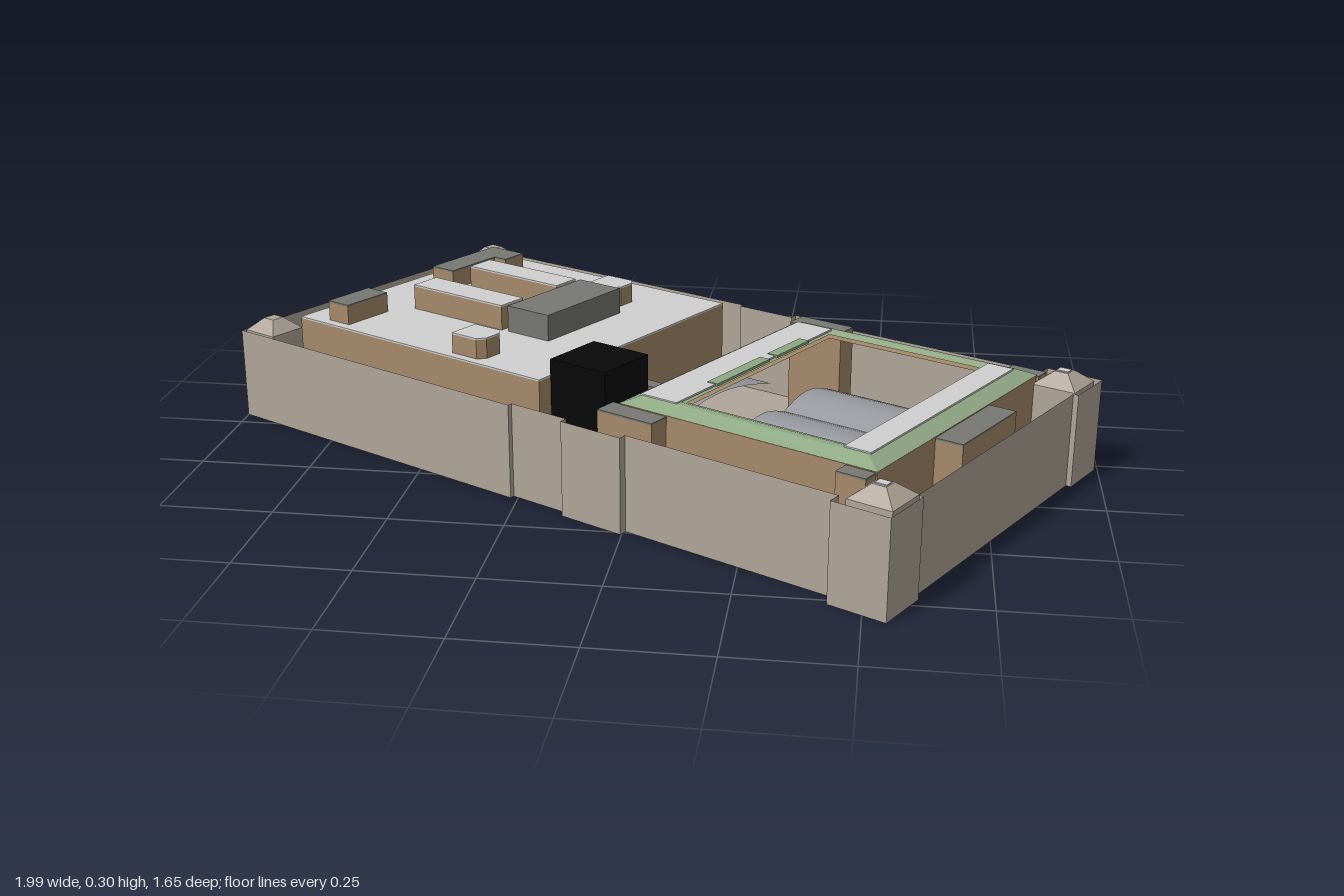
import * as THREE from 'three';

const mat = (name, color, side = THREE.FrontSide) => {
  const m = new THREE.MeshStandardMaterial({ color, side, flatShading: true });
  m.name = name;
  return m;
};

export function createModel() {
  const stone = mat('stone', 0xb0a599, THREE.DoubleSide);
  const brown = mat('brown masonry', 0xa58a69);
  const white = mat('pale roof', 0xd0d0d0);
  const green = mat('green roof', 0x8fa884, THREE.DoubleSide);
  const dark = mat('dark grey roof', 0x777773);
  const glass = mat('grey glass', 0x9999a0, THREE.DoubleSide);
  const black = mat('black', 0x080808);

  // The complex is turned on its plot; parts are laid out in local x (length) and z (width)
  const model = new THREE.Group();
  model.name = 'buildingComplex';
  const plot = new THREE.Group();
  plot.name = 'plot';
  plot.rotation.y = -THREE.MathUtils.degToRad(29);
  model.add(plot);

  const add = (name, geo, material) => {
    const mesh = new THREE.Mesh(geo, material);
    mesh.name = name;
    plot.add(mesh);
    return mesh;
  };
  const box = (name, x0, x1, z0, z1, y0, y1, material) => {
    const mesh = add(name, new THREE.BoxGeometry(x1 - x0, y1 - y0, z1 - z0), material);
    mesh.position.set((x0 + x1) / 2, (y0 + y1) / 2, (z0 + z1) / 2);
    return mesh;
  };
  // Block with sides of one colour and a thin cap of another
  const capped = (name, x0, x1, z0, z1, y0, y1, cap, side = brown) => {
    box(name, x0, x1, z0, z1, y0, y1 - 0.004, side);
    box(name + 'Cap', x0, x1, z0, z1, y1 - 0.004, y1, cap);
  };
  const rect = (x0, x1, z0, z1) => [[x0, z0], [x1, z0], [x1, z1], [x0, z1]];
  // Flat outline raised from y0 to y1, with an optional hole
  const slab = (name, pts, y0, y1, material, hole) => {
    const toV = (p) => new THREE.Vector2(p[0], -p[1]);
    const shape = new THREE.Shape(pts.map(toV));
    if (hole) shape.holes.push(new THREE.Path(hole.map(toV)));
    const geo = new THREE.ExtrudeGeometry(shape, { depth: y1 - y0, bevelEnabled: false });
    geo.rotateX(-Math.PI / 2);
    geo.translate(0, y0, 0);
    return add(name, geo, material);
  };
  // Band of quads between two closed outlines at given heights
  const band = (name, a, ya, b, yb, material) => {
    const pos = [];
    a.forEach((p, i) => {
      const j = (i + 1) % a.length;
      const A = [p[0], ya, p[1]], B = [a[j][0], ya, a[j][1]];
      const C = [b[j][0], yb, b[j][1]], D = [b[i][0], yb, b[i][1]];
      pos.push(...A, ...D, ...C, ...A, ...C, ...B);
    });
    const geo = new THREE.BufferGeometry();
    geo.setAttribute('position', new THREE.Float32BufferAttribute(pos, 3));
    geo.computeVertexNormals();
    return add(name, geo, material);
  };
  // Glazed surface of n shallow barrel vaults side by side along z
  const vault = (name, x0, x1, z0, z1, y, n, h) => {
    const geo = new THREE.PlaneGeometry(x1 - x0, z1 - z0, 1, n * 10);
    geo.rotateX(-Math.PI / 2);
    const p = geo.attributes.position;
    for (let i = 0; i < p.count; i++) {
      const t = p.getZ(i) / (z1 - z0) + 0.5;
      p.setY(i, h * Math.abs(Math.sin(Math.PI * n * t)));
    }
    geo.computeVertexNormals();
    geo.translate((x0 + x1) / 2, y, (z0 + z1) / 2);
    return add(name, geo, glass);
  };

  // Enclosing wall with shallow steps, and the ground inside it
  const side = [[-0.9, 0.441], [-0.06, 0.441], [-0.06, 0.43], [0.09, 0.43], [0.09, 0.448],
    [0.245, 0.448], [0.245, 0.43], [0.75, 0.43], [0.75, 0.461], [0.88, 0.461],
    [0.88, 0.34], [0.868, 0.34]];
  const outline = [...side.map(([x, z]) => [x, -z]), ...side.slice().reverse()];
  band('enclosingWall', outline, 0, outline, 0.214, stone);
  slab('ground', outline, 0.003, 0.006, stone);

  // Corner posts with low truncated pyramids
  for (const s of [-1, 1]) {
    for (const [x, w] of [[-0.843, 0.092], [0.821, 0.1]]) {
      const z = s * 0.39;
      box('cornerPost', x - w / 2, x + w / 2, z - w / 2, z + w / 2, 0.006, 0.216, stone);
      const geo = new THREE.CylinderGeometry(0.022, w * 0.7071, 0.028, 4);
      geo.rotateY(Math.PI / 4);
      add('cornerCap', geo, stone).position.set(x, 0.23, z);
    }
    box('capPlate', 0.808, 0.834, s * 0.39 - 0.01, s * 0.39 + 0.01, 0.243, 0.246, white);
  }

  // Main hall with a flat pale roof
  capped('mainHall', -0.81, -0.065, -0.36, 0.333, 0, 0.238, white);
  // Skylight between two raised bars
  for (const [z0, z1] of [[-0.15, -0.077], [0.046, 0.123]]) {
    capped('skylightBar', -0.637, -0.357, z0, z1, 0.236, 0.298, white);
  }
  vault('skylight', -0.637, -0.357, -0.077, 0.046, 0.24, 1, 0.018);
  // Roof blocks
  box('plantRoom', -0.34, -0.218, -0.147, 0.12, 0.236, 0.3, dark);
  capped('roofBlock', -0.74, -0.672, -0.276, -0.05, 0.236, 0.286, dark);
  capped('roofBlock', -0.672, -0.636, -0.276, -0.207, 0.236, 0.286, dark);
  capped('roofBlock', -0.736, -0.672, 0.18, 0.31, 0.236, 0.286, dark);
  for (const z of [-0.215, 0.272]) {
    const c = 0.04;
    const pts = [[-0.338, z - 0.038], [-0.265, z - 0.038], [-0.25, z - 0.022],
      [-0.25, z + 0.022], [-0.265, z + c], [-0.338, z + c]];
    slab('roofTurret', pts, 0.236, 0.282, brown);
    slab('roofTurretCap', pts, 0.282, 0.286, white);
  }

  // Passage between the buildings: glazed strip, bridge and black block
  vault('passageGlazing', -0.065, 0.08, -0.362, 0.105, 0.06, 1, 0.04);
  box('bridge', -0.065, 0.16, 0.105, 0.138, 0.006, 0.2, dark);
  box('blackBlock', -0.066, 0.085, 0.142, 0.294, 0, 0.275, black);

  // Courtyard building: brown ring with a pitched green roof
  const outer = rect(0.155, 0.775, -0.353, 0.333);
  const ridgeOut = rect(0.19, 0.735, -0.32, 0.3);
  const ridgeIn = rect(0.255, 0.685, -0.312, 0.285);
  const inner = rect(0.28, 0.668, -0.296, 0.264);
  slab('courtyardBuilding', outer, 0, 0.234, brown, inner);
  band('outerRoofSlope', outer, 0.235, ridgeOut, 0.25, green);
  band('roofRidge', ridgeOut, 0.25, ridgeIn, 0.25, green);
  band('innerRoofSlope', ridgeIn, 0.25, inner, 0.243, green);
  box('roofWalk', 0.186, 0.278, -0.308, 0.3, 0.249, 0.253, white);
  box('roofWalk', 0.678, 0.738, -0.31, 0.295, 0.249, 0.253, white);
  for (const [z0, z1] of [[-0.2, -0.07], [-0.04, 0.16]]) {
    box('roofPatch', 0.258, 0.284, z0, z1, 0.249, 0.255, green);
  }
  vault('courtyardGlazing', 0.28, 0.668, -0.296, 0.264, 0.11, 3, 0.022);

  // Dark-roofed bays against the courtyard building
  const bays = [[0.137, 0.278, -0.405, -0.35], [0.136, 0.277, 0.33, 0.384],
    [0.775, 0.837, -0.128, 0.105], [0.7, 0.78, -0.388, -0.35], [0.705, 0.772, 0.33, 0.37]];
  for (const [x0, x1, z0, z1] of bays) capped('bay', x0, x1, z0, z1, 0.006, 0.232, dark);

  return model;
}
